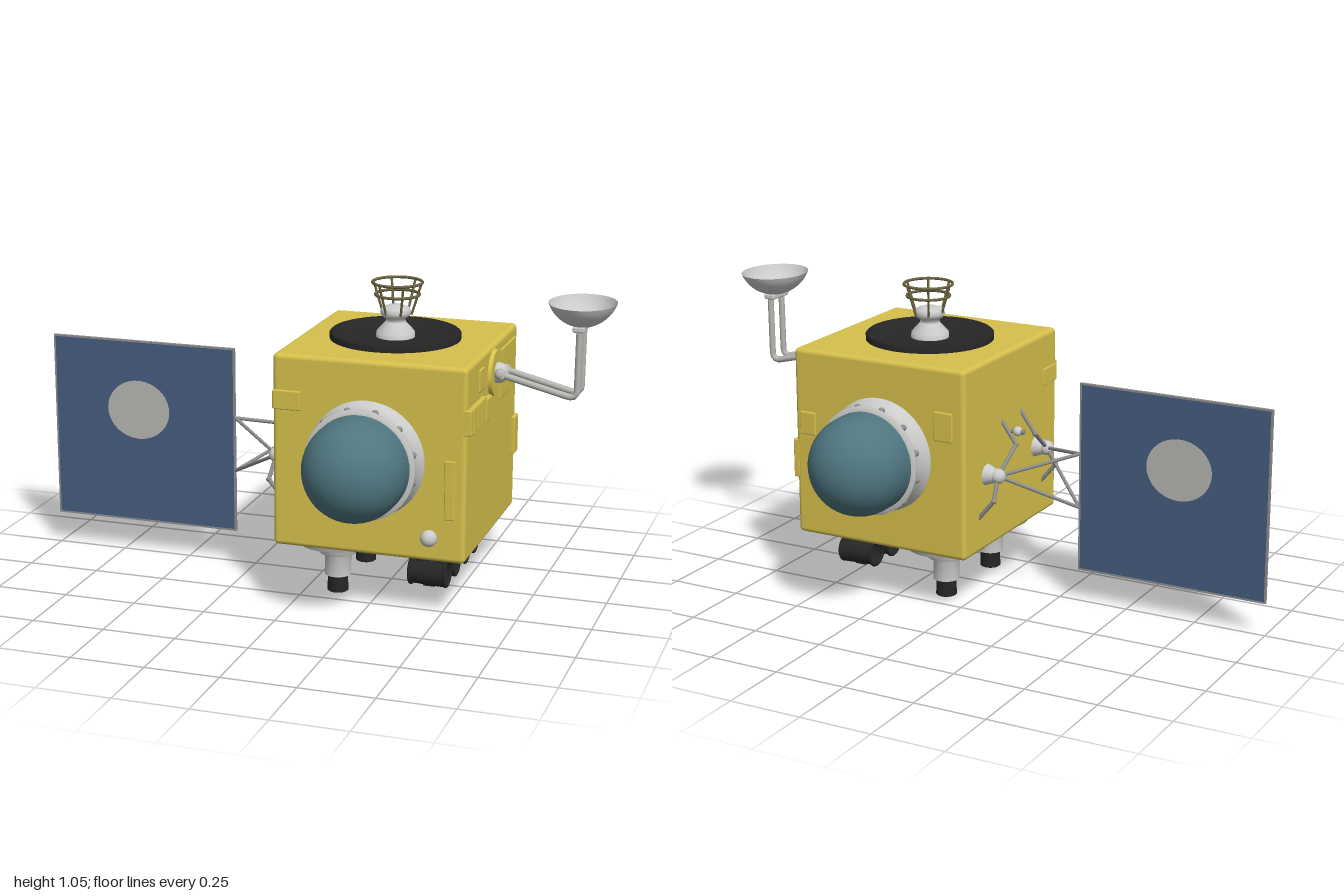
import * as THREE from 'three';
import { RoundedBoxGeometry } from 'three/addons/geometries/RoundedBoxGeometry.js';

const mat = (name, color, side = THREE.FrontSide) => {
  const m = new THREE.MeshStandardMaterial({ color, side });
  m.name = name;
  return m;
};
const V = (x, y, z) => new THREE.Vector3(x, y, z);

export function createModel() {
  const yellow = mat('yellow foil', 0xd6c04c);
  const teal = mat('teal dome', 0x4f7680);
  const blue = mat('blue solar cell', 0x465c80);
  const white = mat('off white', 0xcbcbc9, THREE.DoubleSide);
  const black = mat('black', 0x262627, THREE.DoubleSide);
  const grey = mat('grey metal', 0x8e8e8e);
  const patch = mat('pale patch', 0xb6b6b2);
  const brass = mat('dull brass', 0x6a6442);

  const root = new THREE.Group();
  root.name = 'satellite';
  const CX = 0.265, CY = 0.53;

  // Helpers
  const add = (name, geo, m, x = 0, y = 0, z = 0, parent = root) => {
    const mesh = new THREE.Mesh(geo, m);
    mesh.name = name;
    mesh.position.set(x, y, z);
    parent.add(mesh);
    return mesh;
  };
  const lathe = (pts, seg = 40) => new THREE.LatheGeometry(pts.map(p => new THREE.Vector2(p[0], p[1])), seg);
  const rod = (name, a, b, r, m, parent = root) => {
    const d = b.clone().sub(a);
    const mesh = add(name, new THREE.CylinderGeometry(r, r, d.length(), 10), m, 0, 0, 0, parent);
    mesh.position.copy(a).add(b).multiplyScalar(0.5);
    mesh.quaternion.setFromUnitVectors(V(0, 1, 0), d.normalize());
    return mesh;
  };
  const ball = (name, r, m, x, y, z, parent = root) => add(name, new THREE.SphereGeometry(r, 20, 14), m, x, y, z, parent);

  // Main cube
  add('body', new RoundedBoxGeometry(0.655, 0.655, 0.67, 3, 0.016), yellow, CX, CY, 0);

  // Raised pads: centre x, y, z, then width, height, depth
  const pads = [
    [0.592, 0.678, 0.237, 0.03, 0.085, 0.195], [0.592, 0.668, 0.095, 0.03, 0.075, 0.07],
    [0.592, 0.785, -0.2, 0.012, 0.07, 0.2], [0.592, 0.68, -0.14, 0.012, 0.06, 0.12],
    [0.592, 0.468, -0.308, 0.024, 0.135, 0.055], [0.592, 0.78, 0.16, 0.01, 0.075, 0.06],
    [-0.012, 0.705, 0.335, 0.095, 0.065, 0.018], [0.54, 0.45, 0.334, 0.035, 0.2, 0.012],
    [0.015, 0.66, -0.335, 0.07, 0.1, 0.014], [0.54, 0.6, -0.335, 0.06, 0.08, 0.014],
    [-0.06, 0.7, 0.28, 0.014, 0.06, 0.1],
  ];
  for (const [x, y, z, w, h, d] of pads)
    add('bodyPad', new RoundedBoxGeometry(w, h, d, 2, 0.004), yellow, x, y, z);
  for (let i = 0; i < 4; i++)
    add('padRib', new RoundedBoxGeometry(0.036, 0.088, 0.01, 1, 0.003), yellow, 0.592, 0.678, 0.15 + i * 0.05);

  // Domes with bolted collars, front and back
  for (const s of [1, -1]) {
    const g = new THREE.Group();
    g.name = s > 0 ? 'frontDome' : 'backDome';
    g.position.set(CX - 0.005, CY, 0);
    g.rotation.y = s > 0 ? 0 : Math.PI;
    root.add(g);
    const collar = lathe([[0.197, 0.325], [0.195, 0.345], [0.184, 0.352], [0.178, 0.4], [0.186, 0.408], [0.186, 0.418], [0.165, 0.42]], 48);
    add('domeCollar', collar.rotateX(Math.PI / 2), white, 0, 0, 0, g);
    const profile = [[0.17, 0.34]];
    for (let i = 0; i <= 16; i++) {
      const a = i / 16 * Math.PI / 2;
      profile.push([0.17 * Math.cos(a), 0.465 + 0.17 * Math.sin(a)]);
    }
    add('dome', lathe(profile, 48).rotateX(Math.PI / 2), teal, 0, 0, 0, g);
    for (let i = 0; i < 12; i++) {
      const a = (i + 0.5) / 12 * Math.PI * 2;
      ball('collarBolt', 0.011, grey, Math.cos(a) * 0.18, Math.sin(a) * 0.18, 0.395, g);
    }
  }
  // Small knob on the front face
  ball('frontKnob', 0.028, white, 0.475, 0.285, 0.345);

  // Black top dish with its antenna cone
  add('topDish', lathe([[0.22, 0.85], [0.22, 0.876], [0.214, 0.881], [0.196, 0.881], [0.18, 0.868], [0.1, 0.862], [0, 0.861]], 48), black, 0.255, 0, 0);
  add('antennaCone', lathe([[0.066, 0.858], [0.064, 0.88], [0.035, 0.912], [0.032, 0.922], [0.046, 0.932], [0.052, 0.945], [0.046, 0.96], [0.025, 0.968], [0, 0.97]], 32), white, 0.255, 0, 0);
  const cage = new THREE.Group();
  cage.name = 'antennaCage';
  cage.position.set(0.26, 0, 0);
  root.add(cage);
  for (const [r, y] of [[0.083, 1.046], [0.073, 1.005]])
    add('cageRing', new THREE.TorusGeometry(r, 0.005, 8, 36).rotateX(Math.PI / 2), brass, 0, y, 0, cage);
  for (let i = 0; i < 6; i++) {
    const a = i / 6 * Math.PI * 2, c = Math.cos(a), s = Math.sin(a);
    rod('cageBar', V(0.05 * c, 0.94, 0.05 * s), V(0.083 * c, 1.046, 0.083 * s), 0.004, brass, cage);
  }

  // Side dish on two bent tubes
  const bowl = [];
  for (let i = 0; i <= 12; i++) {
    const a = i / 12 * 1.2;
    bowl.push([0.131 * Math.sin(a) / Math.sin(1.2), 1.022 - 0.08 * (Math.cos(a) - Math.cos(1.2)) / (1 - Math.cos(1.2))]);
  }
  add('sideDish', lathe(bowl), white, 0.885, 0, 0).scale.x = 0.85;
  add('dishMount', new RoundedBoxGeometry(0.04, 0.02, 0.1, 2, 0.006), white, 0.882, 0.94, 0);
  for (const s of [1, -1]) {
    const path = new THREE.CurvePath();
    const p = [V(0.62, 0.77, 0.034 * s), V(0.85, 0.713, 0.034 * s), V(0.88, 0.706, 0.034 * s), V(0.882, 0.735, 0.034 * s), V(0.884, 0.945, 0.034 * s)];
    path.add(new THREE.LineCurve3(p[0], p[1]));
    path.add(new THREE.QuadraticBezierCurve3(p[1], p[2], p[3]));
    path.add(new THREE.LineCurve3(p[3], p[4]));
    add('dishTube', new THREE.TubeGeometry(path, 40, 0.011, 10), patch);
    ball('tubeJoint', 0.02, patch, 0.625, 0.768, 0.034 * s);
  }
  add('dishBasePlate', new THREE.CylinderGeometry(0.075, 0.08, 0.014, 32).rotateZ(-Math.PI / 2), yellow, 0.598, 0.765, 0);
  ball('dishBaseKnob', 0.035, white, 0.61, 0.765, 0);
  rod('dishAxle', V(0.63, 0.768, -0.05), V(0.63, 0.768, 0.05), 0.013, white);

  // Solar panel with frame and a pale disc on each face
  const panel = new THREE.Group();
  panel.name = 'solarPanel';
  panel.position.set(-0.66, 0.443, 0);
  root.add(panel);
  add('solarCell', new THREE.BoxGeometry(0.67, 0.65, 0.008), blue, 0, 0, 0, panel);
  for (const s of [1, -1]) {
    add('frameRail', new THREE.BoxGeometry(0.68, 0.006, 0.011), grey, 0, 0.327 * s, 0, panel);
    add('frameSide', new THREE.BoxGeometry(0.006, 0.66, 0.011), grey, 0.337 * s, 0, 0, panel);
    const disc = add('panelDisc', new THREE.CylinderGeometry(0.116, 0.116, 0.003, 48).rotateX(Math.PI / 2), patch, -0.022, 0.08, 0.0045 * s, panel);
    disc.scale.y = 0.91;
  }

  // Struts that carry the panel
  for (const s of [1, -1]) {
    const hub = V(-0.105, 0.465, 0.18 * s);
    ball('strutHub', 0.026, white, hub.x, hub.y, hub.z);
    add('strutFoot', new THREE.CylinderGeometry(0.022, 0.04, 0.045, 20).rotateZ(Math.PI / 2), white, -0.077, 0.465, 0.18 * s);
    rod('upperStrut', hub, V(-0.32, 0.525, 0), 0.006, grey);
    rod('lowerStrut', hub, V(-0.32, 0.335, 0), 0.006, grey);
    // Bent braces next to the hub
    for (const [y, z] of [[0.63, 0.07], [0.32, 0.23]]) {
      const knee = V(-0.115, 0.465 + (y - 0.465) * 0.5, z * s);
      rod('brace', hub, knee, 0.007, grey);
      rod('braceEnd', knee, V(-0.055, y, z * s), 0.007, grey);
      ball('braceKnee', 0.009, grey, knee.x, knee.y, knee.z);
    }
  }
  rod('sideProbe', V(-0.06, 0.57, 0), V(-0.11, 0.57, 0), 0.009, grey);
  ball('probeTip', 0.017, white, -0.085, 0.57, 0);

  // Thrusters on round base plates
  for (const s of [1, -1]) {
    const z = 0.16 * s;
    add('thrusterPlate', new THREE.CylinderGeometry(0.14, 0.135, 0.022, 32), patch, 0.107, 0.19, z);
    add('thruster', lathe([[0.045, 0.06], [0.045, 0.135], [0.064, 0.14], [0.064, 0.18]], 32), white, 0.107, 0, z);
    add('nozzle', lathe([[0, 0.012], [0.03, 0.012], [0.032, 0], [0.036, 0.003], [0.034, 0.055], [0.036, 0.068], [0, 0.068]], 28), black, 0.107, 0, z);
    for (let i = 0; i < 6; i++) {
      const a = (i + 0.5) / 6 * Math.PI * 2;
      ball('plateBolt', 0.009, white, 0.107 + 0.115 * Math.cos(a), 0.179, z + 0.115 * Math.sin(a));
    }
  }
  add('platebridge', new THREE.BoxGeometry(0.14, 0.02, 0.2), patch, 0.13, 0.191, 0);
  rod('bottomRod', V(0.2, 0.11, 0), V(0.2, 0.19, 0), 0.006, grey);

  // Row of black sensor barrels under the body
  for (const z of [0.182, 0.066, -0.066, -0.182]) {
    const g = new THREE.Group();
    g.name = 'sensorBarrel';
    g.position.set(0.435, 0.108, z);
    root.add(g);
    add('barrel', new THREE.CylinderGeometry(0.045, 0.04, 0.12, 28, 1, true).rotateZ(-Math.PI / 2), black, 0, 0, 0, g);
    for (const s of [1, -1])
      add('barrelRim', new THREE.TorusGeometry(0.044, 0.006, 8, 28).rotateY(Math.PI / 2), black, 0.06 * s, 0.004, 0, g);
    add('barrelCore', new THREE.BoxGeometry(0.07, 0.022, 0.03), black, 0, -0.008, 0, g);
    add('coreStem', new THREE.BoxGeometry(0.04, 0.035, 0.012), black, 0, -0.03, 0, g);
    for (const x of [-0.033, 0.038])
      rod('barrelStem', V(x, 0.035, 0), V(x, 0.095, 0), 0.013, black, g);
  }
  return root;
}
